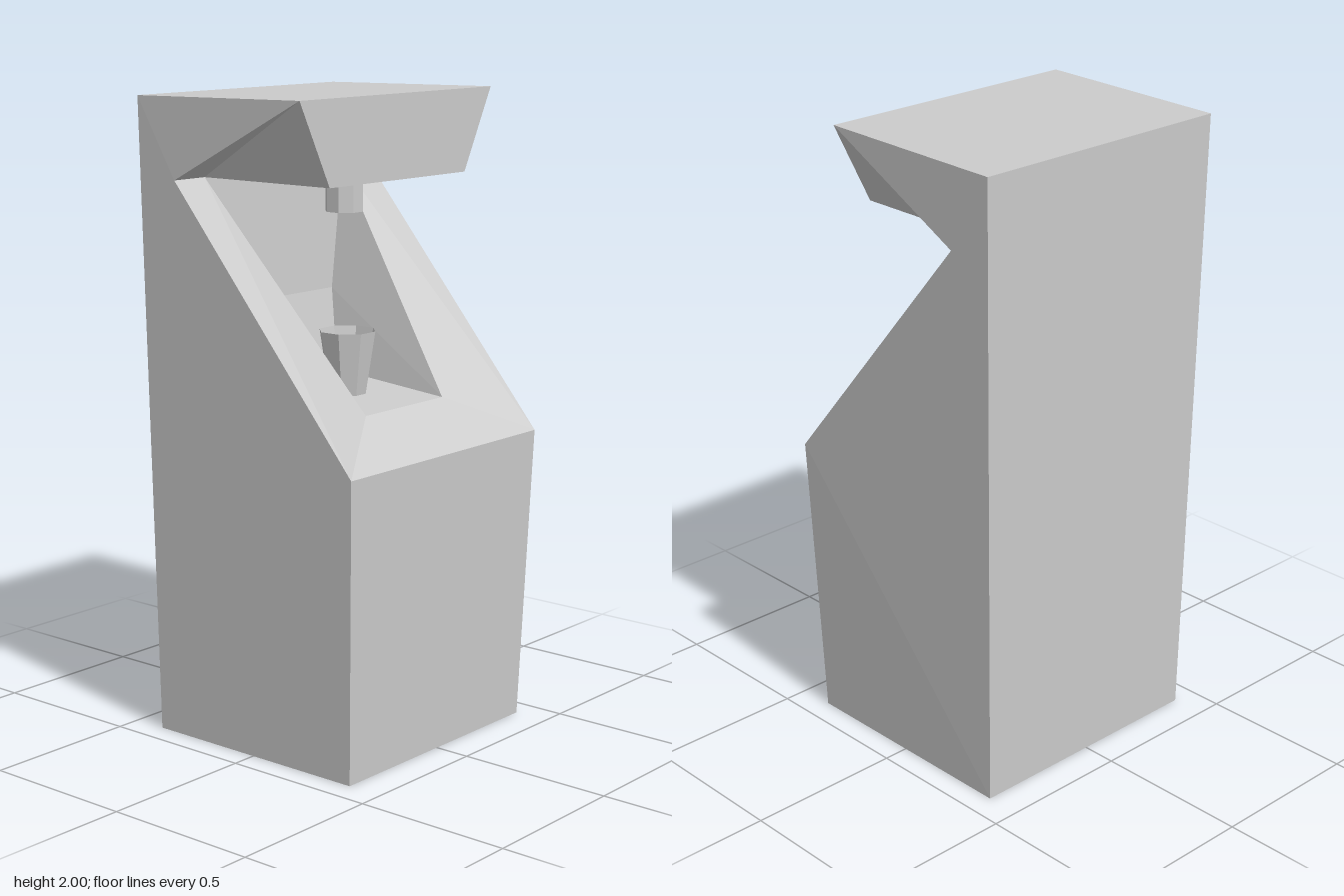
import * as THREE from 'three';

const material = new THREE.MeshStandardMaterial({ color: 0xcccccc, flatShading: true });
const openMaterial = new THREE.MeshStandardMaterial({ color: 0xcccccc, flatShading: true, side: THREE.DoubleSide });

// Corners of the cabinet: x, y and half the width in z
const corner = {
  backBottom: [-0.39, 0, 0.42],
  frontBottom: [0.385, 0, 0.42],
  knee: [0.415, 0.935, 0.45],
  floorFront: [0.25, 1.06, 0.185],
  floorBack: [-0.18, 1.095, 0.19],
  wallMiddle: [-0.24, 1.35, 0.235],
  ceilingBack: [-0.27, 1.745, 0.32],
  headBottom: [0.225, 1.745, 0.32],
  headTop: [0.225, 2, 0.45],
  backTop: [-0.418, 1.99, 0.45],
  notch: [-0.27, 1.745, 0.45],
};

// Flat faces that span the full width, in order round the profile
const loop = ['backBottom', 'frontBottom', 'knee', 'floorFront', 'floorBack',
  'wallMiddle', 'ceilingBack', 'headBottom', 'headTop', 'backTop'];

// Faces of the left side, mirrored for the right
const sideFaces = [
  ['backBottom', 'frontBottom', 'knee', 'notch', 'backTop'], // outer panel
  ['backTop', 'notch', 'headTop'],                           // head panel
  ['knee', 'floorFront', 'ceilingBack', 'notch'],            // bevel round the recess
  ['floorFront', 'floorBack', 'wallMiddle', 'ceilingBack'],  // recess side wall
  ['headTop', 'ceilingBack', 'headBottom'],                  // head flank
  ['headTop', 'notch', 'ceilingBack'],
];

function cabinetGeometry() {
  const positions = [];
  const at = (name, side) => {
    const [x, y, z] = corner[name];
    return [x, y, z * side];
  };
  const face = (points) => {
    for (let i = 1; i < points.length - 1; i++) {
      positions.push(...points[0], ...points[i], ...points[i + 1]);
    }
  };
  loop.forEach((a, i) => {
    const b = loop[(i + 1) % loop.length];
    face([at(a, 1), at(a, -1), at(b, -1), at(b, 1)]);
  });
  for (const names of sideFaces) {
    face(names.map((n) => at(n, 1)));
    // Keep the fan's first corner while reversing the winding
    face([names[0], ...names.slice(1).reverse()].map((n) => at(n, -1)));
  }
  const geometry = new THREE.BufferGeometry();
  geometry.setAttribute('position', new THREE.Float32BufferAttribute(positions, 3));
  geometry.computeVertexNormals();
  return geometry;
}

export function createModel() {
  const group = new THREE.Group();
  const add = (name, geometry, mat, x, y, z) => {
    const mesh = new THREE.Mesh(geometry, mat);
    mesh.name = name;
    mesh.position.set(x, y, z);
    group.add(mesh);
    return mesh;
  };

  // Tapered body, recess and overhanging head
  add('cabinet', cabinetGeometry(), material, 0, 0, 0);

  // Octagonal spout under the head
  const spout = add('spout', new THREE.CylinderGeometry(0.06, 0.06, 0.11, 8), material, 0.006, 1.69, -0.005);
  spout.rotation.y = Math.PI / 8;

  // Open octagonal cup standing on the recess floor
  const profile = [[0, 1.065], [0.058, 1.065], [0.09, 1.27]].map(([r, y]) => new THREE.Vector2(r, y));
  const cup = add('cup', new THREE.LatheGeometry(profile, 8), openMaterial, 0.025, 0, 0.003);
  cup.rotation.y = Math.PI / 8;

  return group;
}
